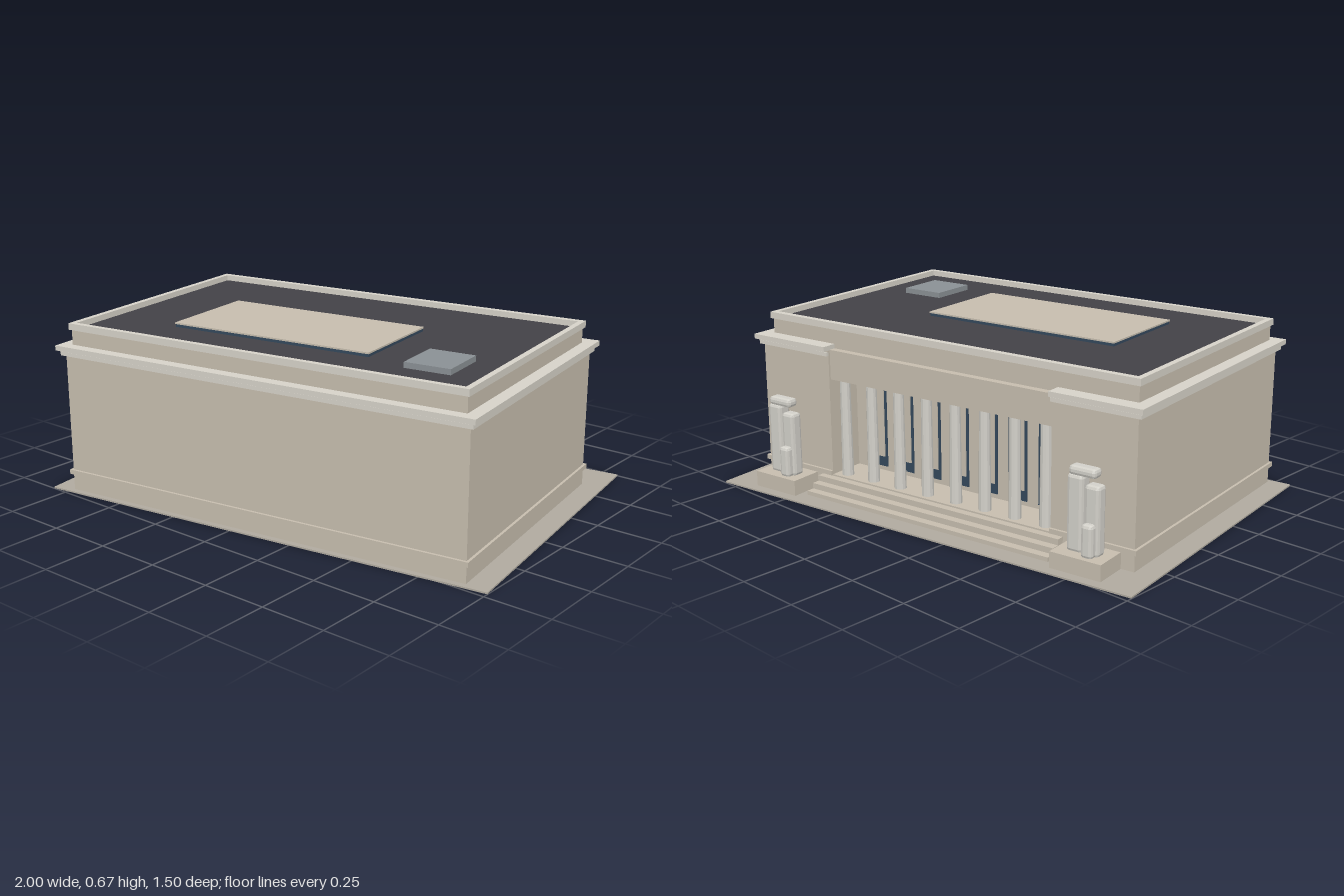
import * as THREE from 'three';
import { RoundedBoxGeometry } from 'three/addons/geometries/RoundedBoxGeometry.js';

const mat = (color) => new THREE.MeshStandardMaterial({ color, flatShading: true });
const stone = mat(0xc6bdae), trim = mat(0xd6d2c8), pale = mat(0xd2d0c9), paving = mat(0xb0aa9f);
const roofing = mat(0x434247), glass = mat(0x34485c), metal = mat(0x8a9094);

export function createModel() {
  const root = new THREE.Group();
  const building = new THREE.Group();
  building.name = 'building';
  building.rotation.y = 0.148; // the block stands turned on its plot
  root.add(building);

  const add = (name, geometry, material, parent = building) => {
    const mesh = new THREE.Mesh(geometry, material);
    mesh.name = name;
    parent.add(mesh);
    return mesh;
  };
  // box given by its limits
  const box = (name, x0, x1, y0, y1, z0, z1, material, parent) => {
    const mesh = add(name, new THREE.BoxGeometry(x1 - x0, y1 - y0, z1 - z0), material, parent);
    mesh.position.set((x0 + x1) / 2, (y0 + y1) / 2, (z0 + z1) / 2);
    return mesh;
  };
  const path = (Type, pts) => new Type(pts.map(([x, z]) => new THREE.Vector2(x, -z)));
  // horizontal course: rectangle with an optional notch in its back edge and an optional hole
  const course = (name, hw, back, front, y0, y1, material, { notch, hole } = {}) => {
    const pts = [[-hw, front], [hw, front], [hw, back]];
    if (notch) pts.push([notch[0], back], [notch[0], notch[1]], [-notch[0], notch[1]], [-notch[0], back]);
    pts.push([-hw, back]);
    const shape = path(THREE.Shape, pts);
    if (hole) {
      const [w, b, f] = hole;
      shape.holes.push(path(THREE.Path, [[-w, b], [w, b], [w, f], [-w, f]]));
    }
    const g = new THREE.ExtrudeGeometry(shape, { depth: y1 - y0, bevelEnabled: false });
    g.rotateX(-Math.PI / 2).translate(0, y0, 0);
    return add(name, g, material);
  };

  box('pavement', -0.918, 0.918, 0, 0.006, -0.62, 0.62, paving);

  // walls with the portico recess, plinth band and cornice
  const recess = { notch: [0.5, -0.3] };
  course('walls', 0.832, -0.452, 0.598, 0.006, 0.56, stone, recess);
  course('plinthBand', 0.842, -0.462, 0.608, 0.07, 0.088, stone, recess);
  const gap = { notch: [0.5, -0.4] };
  course('corniceLower', 0.847, -0.463, 0.612, 0.543, 0.558, trim, gap);
  course('corniceUpper', 0.86, -0.476, 0.625, 0.563, 0.582, trim, gap);
  course('corniceJoint', 0.838, -0.456, 0.604, 0.558, 0.563, stone, gap);

  // attic, parapet and roof
  const well = { hole: [0.798, -0.4, 0.568] };
  course('attic', 0.812, -0.416, 0.582, 0.56, 0.64, stone);
  course('parapetCap', 0.82, -0.425, 0.59, 0.64, 0.665, trim, well);
  box('roof', -0.798, 0.798, 0.635, 0.643, -0.4, 0.568, roofing);
  box('skylightGlazing', -0.497, 0.329, 0.64, 0.654, -0.049, 0.361, glass);
  box('skylightTop', -0.499, 0.331, 0.654, 0.66, -0.051, 0.363, stone);
  box('roofHatch', 0.495, 0.67, 0.64, 0.664, 0.22, 0.415, metal);

  // portico: floor, steps, lintel and columns
  const portico = new THREE.Group();
  portico.name = 'portico';
  building.add(portico);
  box('porticoFloor', -0.5, 0.5, 0.006, 0.072, -0.452, -0.3, stone, portico);
  for (let i = 0; i < 3; i++) {
    box('step', -0.55, 0.55, 0.006, 0.022 * (i + 1), -0.545 + i * 0.032, -0.45, stone, portico);
  }
  box('lintel', -0.5, 0.5, 0.45, 0.565, -0.444, -0.3, stone, portico);
  for (let i = 0; i < 8; i++) {
    const x = -0.455 + i * 0.13;
    const column = add('column', new THREE.CylinderGeometry(0.02, 0.023, 0.38, 12), pale, portico);
    column.position.set(x, 0.262, -0.415);
    // tall windows between the columns
    if (i < 7) {
      box('windowGlass', x + 0.025, x + 0.105, 0.09, 0.42, -0.304, -0.298, glass, portico);
      box('windowPanel', x + 0.035, x + 0.095, 0.13, 0.41, -0.308, -0.3, stone, portico);
    }
  }

  // paired statues on pedestals flanking the steps
  for (const x of [-0.68, 0.68]) {
    const statue = new THREE.Group();
    statue.name = 'statue';
    statue.position.set(x, 0, -0.515);
    building.add(statue);
    box('pedestal', -0.1, 0.1, 0.006, 0.066, -0.067, 0.064, stone, statue);
    const block = (name, w, h, d, px, y, pz) => {
      add(name, new RoundedBoxGeometry(w, h, d, 1, 0.012), pale, statue).position.set(px, y + h / 2, pz);
    };
    block('tallFigure', 0.062, 0.275, 0.055, 0.034, 0.062, 0.005);
    block('shortFigure', 0.058, 0.25, 0.05, -0.034, 0.062, 0);
    block('figureHead', 0.105, 0.034, 0.048, 0.008, 0.332, 0.003);
    block('figureKnee', 0.045, 0.12, 0.04, -0.03, 0.062, -0.03);
  }

  return root;
}
